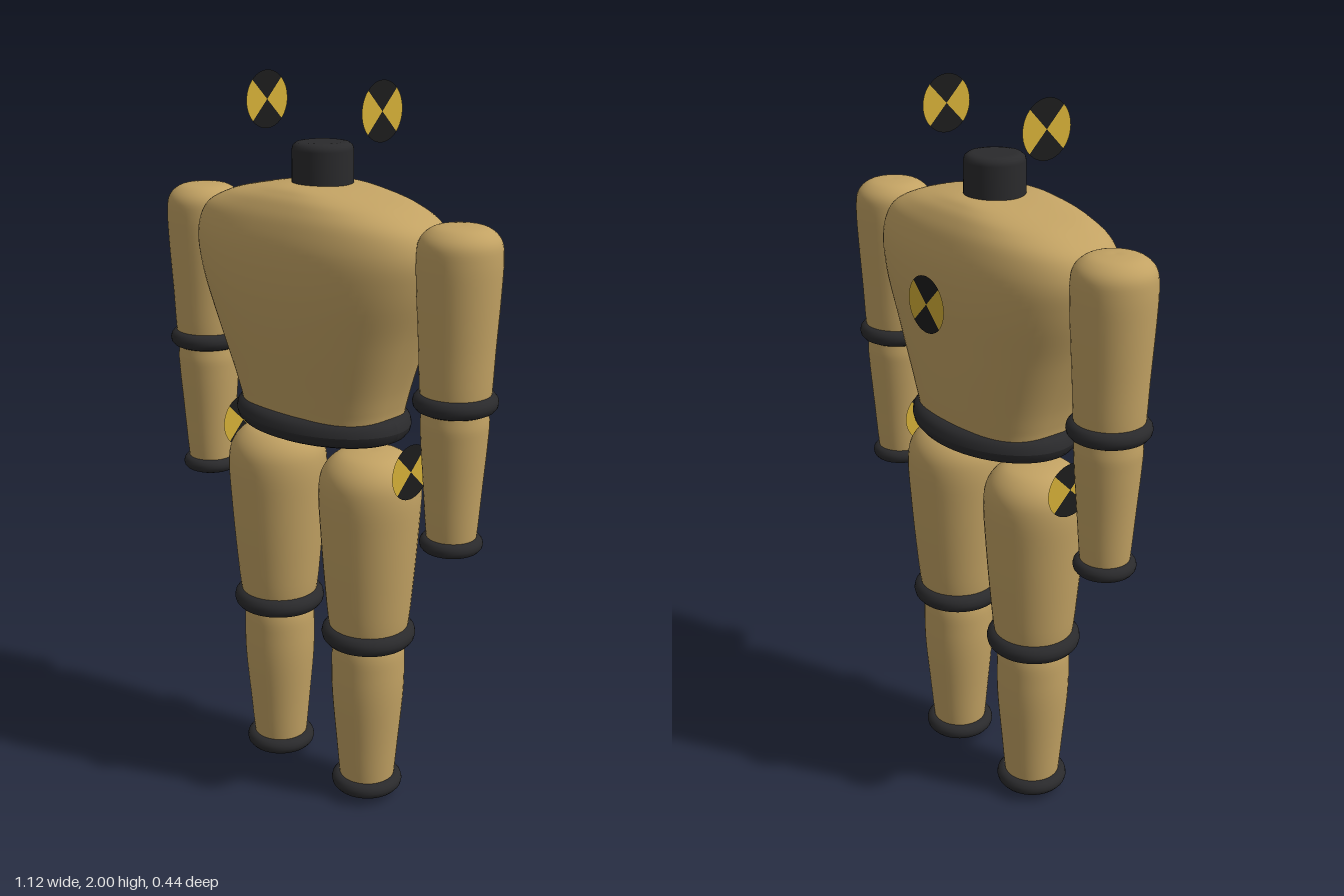
import * as THREE from 'three';

export function createModel() {
  const model = new THREE.Group();
  model.name = 'testDummy';

  const mat = (name, color, side = THREE.FrontSide) => {
    const m = new THREE.MeshStandardMaterial({ color, side });
    m.name = name;
    return m;
  };
  const tan = mat('tan', 0xc2a263);
  const black = mat('black', 0x2a2a2c);
  const yellow = mat('yellow', 0xd4af37, THREE.DoubleSide);
  const markerBlack = mat('markerBlack', 0x1c1c1c, THREE.DoubleSide);

  const add = (parent, name, geometry, material, x = 0, y = 0, z = 0) => {
    const mesh = new THREE.Mesh(geometry, material);
    mesh.name = name;
    mesh.position.set(x, y, z);
    parent.add(mesh);
    return mesh;
  };

  // smooth turned body from [radius, y] points, bottom to top
  const turned = (points) => {
    const curve = new THREE.SplineCurve(points.map(p => new THREE.Vector2(...p)));
    const smooth = curve.getPoints(40);
    smooth.forEach(p => { p.x = Math.max(0, p.x); });
    return new THREE.LatheGeometry(smooth, 40);
  };

  // horizontal ring with the given outer radius
  const ring = (outer, tube) =>
    new THREE.TorusGeometry(outer - tube, tube, 14, 48).rotateX(Math.PI / 2);

  // torso: rounded-oblong loops, rows are [half width, y, half depth]
  const rows = [
    [0, 1.08, 0], [0.12, 1.08, 0.08], [0.2, 1.085, 0.13], [0.232, 1.11, 0.152], [0.245, 1.16, 0.163],
    [0.262, 1.22, 0.174], [0.312, 1.36, 0.197], [0.366, 1.5, 0.211], [0.383, 1.59, 0.205],
    [0.362, 1.65, 0.186], [0.29, 1.69, 0.163], [0.19, 1.715, 0.138], [0.08, 1.731, 0.1], [0, 1.735, 0],
  ];
  const torsoCurve = new THREE.CatmullRomCurve3(rows.map(r => new THREE.Vector3(...r)), false, 'centripetal');
  const loops = torsoCurve.getPoints(78);
  const sides = 64;
  const round = v => Math.sign(v) * Math.abs(v) ** 0.8;
  const positions = [], indices = [];
  loops.forEach((p, i) => {
    const shift = 0.009 * THREE.MathUtils.smoothstep(p.y, 1.1, 1.45);
    for (let j = 0; j < sides; j++) {
      const a = j / sides * Math.PI * 2;
      positions.push(p.x * round(Math.cos(a)), p.y, p.z * round(Math.sin(a)) + shift);
      if (i === loops.length - 1) continue;
      const here = i * sides + j, next = i * sides + (j + 1) % sides;
      indices.push(here, here + sides, next, next, here + sides, next + sides);
    }
  });
  const torso = new THREE.BufferGeometry();
  torso.setAttribute('position', new THREE.Float32BufferAttribute(positions, 3));
  torso.setIndex(indices);
  torso.computeVertexNormals();
  add(model, 'torso', torso, tan);

  // waist ring, stretched to an ellipse
  const waist = new THREE.TorusGeometry(1, 0.035, 14, 64).rotateX(Math.PI / 2);
  const wp = waist.attributes.position;
  for (let i = 0; i < wp.count; i++) {
    const a = Math.atan2(wp.getZ(i), wp.getX(i));
    const out = Math.hypot(wp.getX(i), wp.getZ(i)) - 1;
    wp.setX(i, Math.cos(a) * (0.235 + out));
    wp.setZ(i, Math.sin(a) * (0.158 + out));
  }
  waist.computeVertexNormals();
  add(model, 'waistRing', waist, black, 0, 1.11, 0);

  // neck stub with a softened top edge
  const neckProfile = [[0.08, 1.68], [0.08, 1.815], [0.077, 1.826], [0.068, 1.833], [0.055, 1.835], [0, 1.835]];
  add(model, 'neck', new THREE.LatheGeometry(neckProfile.map(p => new THREE.Vector2(...p)), 40), black);

  // limbs, mirrored left and right
  const upperArm = turned([[0, 1.19], [0.07, 1.2], [0.088, 1.24], [0.096, 1.38], [0.104, 1.52],
    [0.106, 1.6], [0.099, 1.645], [0.07, 1.672], [0.03, 1.68], [0, 1.68]]);
  const forearm = turned([[0, 0.832], [0.035, 0.836], [0.058, 0.85], [0.066, 0.89], [0.076, 1.02],
    [0.085, 1.14], [0.086, 1.2], [0.07, 1.25], [0, 1.26]]);
  const thigh = turned([[0, 0.47], [0.085, 0.48], [0.108, 0.53], [0.122, 0.66], [0.134, 0.82],
    [0.139, 0.93], [0.127, 0.99], [0.09, 1.03], [0.04, 1.044], [0, 1.045]]);
  const shin = turned([[0, 0.003], [0.045, 0.008], [0.07, 0.025], [0.078, 0.07], [0.088, 0.18],
    [0.1, 0.32], [0.102, 0.41], [0.098, 0.48], [0.075, 0.53], [0, 0.54]]);

  for (const [side, s] of [['left', 1], ['right', -1]]) {
    const arm = new THREE.Group();
    arm.name = side + 'Arm';
    arm.position.x = s * 0.453;
    add(arm, 'upperArm', upperArm, tan);
    add(arm, 'forearm', forearm, tan);
    add(arm, 'elbowRing', ring(0.108, 0.024), black, 0, 1.24, 0);
    add(arm, 'wristRing', ring(0.082, 0.02), black, 0, 0.86, 0);

    const leg = new THREE.Group();
    leg.name = side + 'Leg';
    leg.position.x = s * 0.174;
    add(leg, 'thigh', thigh, tan);
    add(leg, 'shin', shin, tan);
    add(leg, 'kneeRing', ring(0.13, 0.028), black, 0, 0.512, 0);
    add(leg, 'ankleRing', ring(0.1, 0.022), black, 0, 0.045, 0);
    model.add(arm, leg);
  }

  // round target markers in four alternating quarters
  const marker = (name, x, y, z, turn) => {
    const group = new THREE.Group();
    group.name = name;
    for (let q = 0; q < 4; q++) {
      const quarter = new THREE.CircleGeometry(0.075, 12, (q - 0.5) * Math.PI / 2, Math.PI / 2);
      add(group, 'quarter', quarter, q % 2 ? markerBlack : yellow);
    }
    group.position.set(x, y, z);
    group.rotation.y = turn;
    model.add(group);
  };
  for (const [side, s] of [['left', 1], ['right', -1]]) {
    marker(side + 'HeadMarker', s * 0.2, 1.925, 0, s * Math.PI / 2);
    marker(side + 'HipMarker', s * 0.315, 1.015, 0, s * Math.PI / 2);
  }
  marker('backMarker', 0, 1.48, -0.22, Math.PI);

  return model;
}
